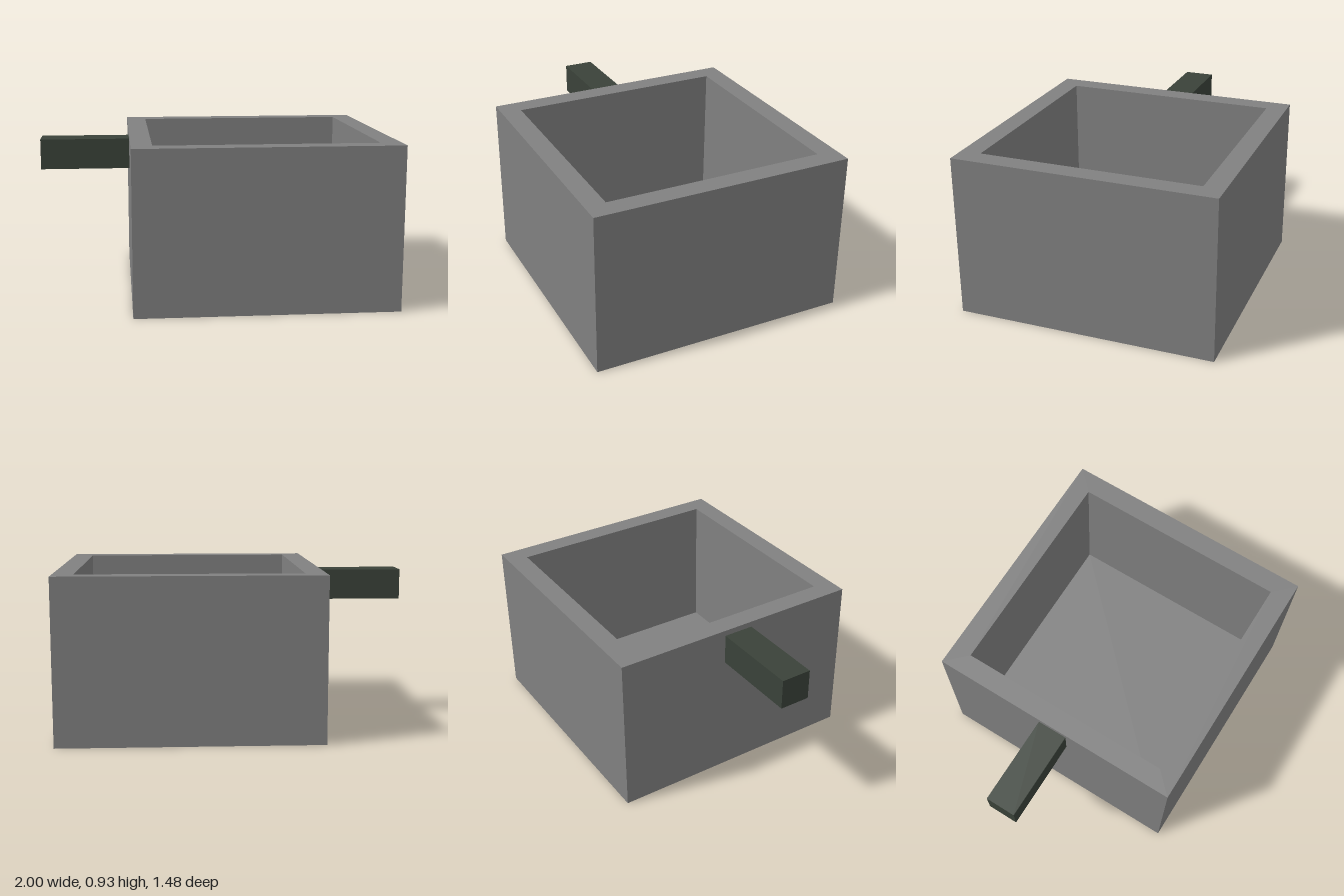
import * as THREE from 'three';

// Rectangle outline centred on the origin
function square(PathType, half) {
  const p = new PathType();
  p.moveTo(-half, -half);
  p.lineTo(half, -half);
  p.lineTo(half, half);
  p.lineTo(-half, half);
  p.closePath();
  return p;
}

export function createModel() {
  const group = new THREE.Group();
  const bodyMaterial = new THREE.MeshStandardMaterial({ color: 0x808080 });
  const handleMaterial = new THREE.MeshStandardMaterial({ color: 0x3a4239 });

  const height = 0.93, outer = 0.742, inner = 0.625, floorThickness = 0.12, bodyX = 0.258;

  const add = (name, geometry, material, x, y, z = 0) => {
    const mesh = new THREE.Mesh(geometry, material);
    mesh.name = name;
    mesh.position.set(x, y, z);
    group.add(mesh);
  };

  // Square pot walls, hollow through the middle
  const outline = square(THREE.Shape, outer);
  outline.holes.push(square(THREE.Path, inner));
  const walls = new THREE.ExtrudeGeometry(outline, { depth: height, bevelEnabled: false });
  walls.rotateX(-Math.PI / 2);
  add('potWalls', walls, bodyMaterial, bodyX, 0);

  // Floor plate closing the bottom, flush with the base
  add('potFloor', new THREE.BoxGeometry(inner * 2, floorThickness, inner * 2),
    bodyMaterial, bodyX, floorThickness / 2);

  // Straight square handle on one side
  const handleEnd = -1, handleRoot = bodyX - outer;
  add('handle', new THREE.BoxGeometry(handleRoot - handleEnd, 0.175, 0.175),
    handleMaterial, (handleRoot + handleEnd) / 2, 0.81);

  return group;
}
